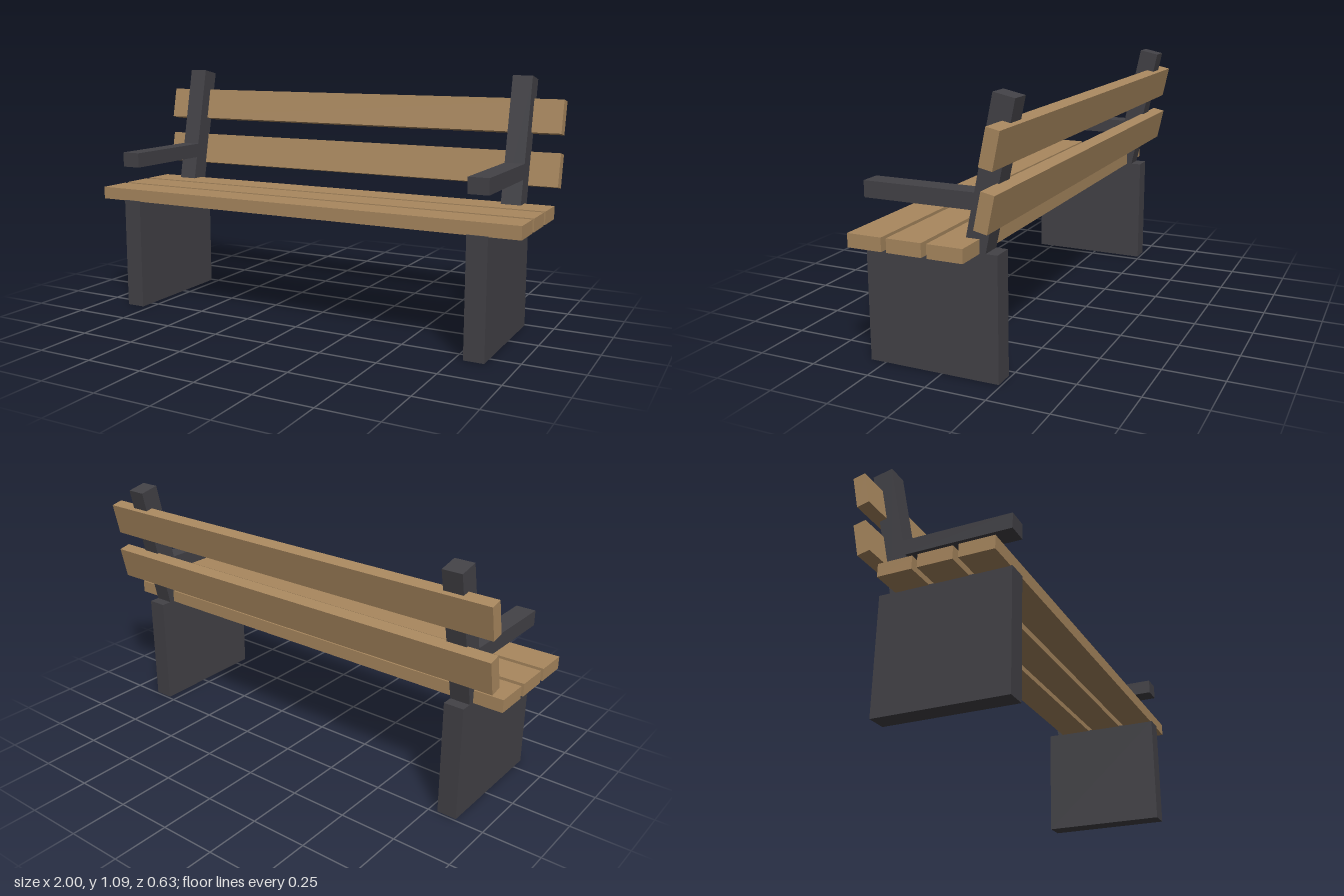
import * as THREE from 'three';

export function createModel() {
  const bench = new THREE.Group();
  bench.name = 'bench';

  const wood = new THREE.MeshStandardMaterial({ color: 0xa9885f });
  wood.name = 'wood';
  const darkMetal = new THREE.MeshStandardMaterial({ color: 0x434247 });
  darkMetal.name = 'darkMetal';

  const tilt = -THREE.MathUtils.degToRad(12);

  function addBox(parent, name, material, [w, h, d], [x, y, z], rotX = 0) {
    const mesh = new THREE.Mesh(new THREE.BoxGeometry(w, h, d), material);
    mesh.name = name;
    mesh.position.set(x, y, z);
    mesh.rotation.x = rotX;
    parent.add(mesh);
  }

  // Seat: three planks, front to back
  [0.238, 0.071, -0.096].forEach((z, i) =>
    addBox(bench, `seatSlat${i + 1}`, wood, [2, 0.055, 0.145], [0, 0.525, z]));

  // Backrest: two leaning planks behind the posts
  [[0.689, -0.253], [0.912, -0.275]].forEach(([y, z], i) =>
    addBox(bench, `backSlat${i + 1}`, wood, [2, 0.144, 0.054], [0, y, z], tilt));

  // Side frames: leg panel, leaning post and armrest
  const width = 0.086;
  const postLength = 0.62;
  for (const [side, x] of [['left', 0.83], ['right', -0.83]]) {
    const frame = new THREE.Group();
    frame.name = `${side}Frame`;
    frame.position.x = x;
    addBox(frame, 'legPanel', darkMetal, [width, 0.5, 0.556], [0, 0.25, 0.038]);
    // Post hangs down from its top centre along the lean, into the leg panel
    addBox(frame, 'backPost', darkMetal, [width, postLength, 0.088],
      [0, 1.077 - Math.cos(tilt) * postLength / 2, -0.2705 - Math.sin(tilt) * postLength / 2], tilt);
    addBox(frame, 'armrest', darkMetal, [width, 0.066, 0.496], [0, 0.69, 0.068]);
    bench.add(frame);
  }

  return bench;
}
